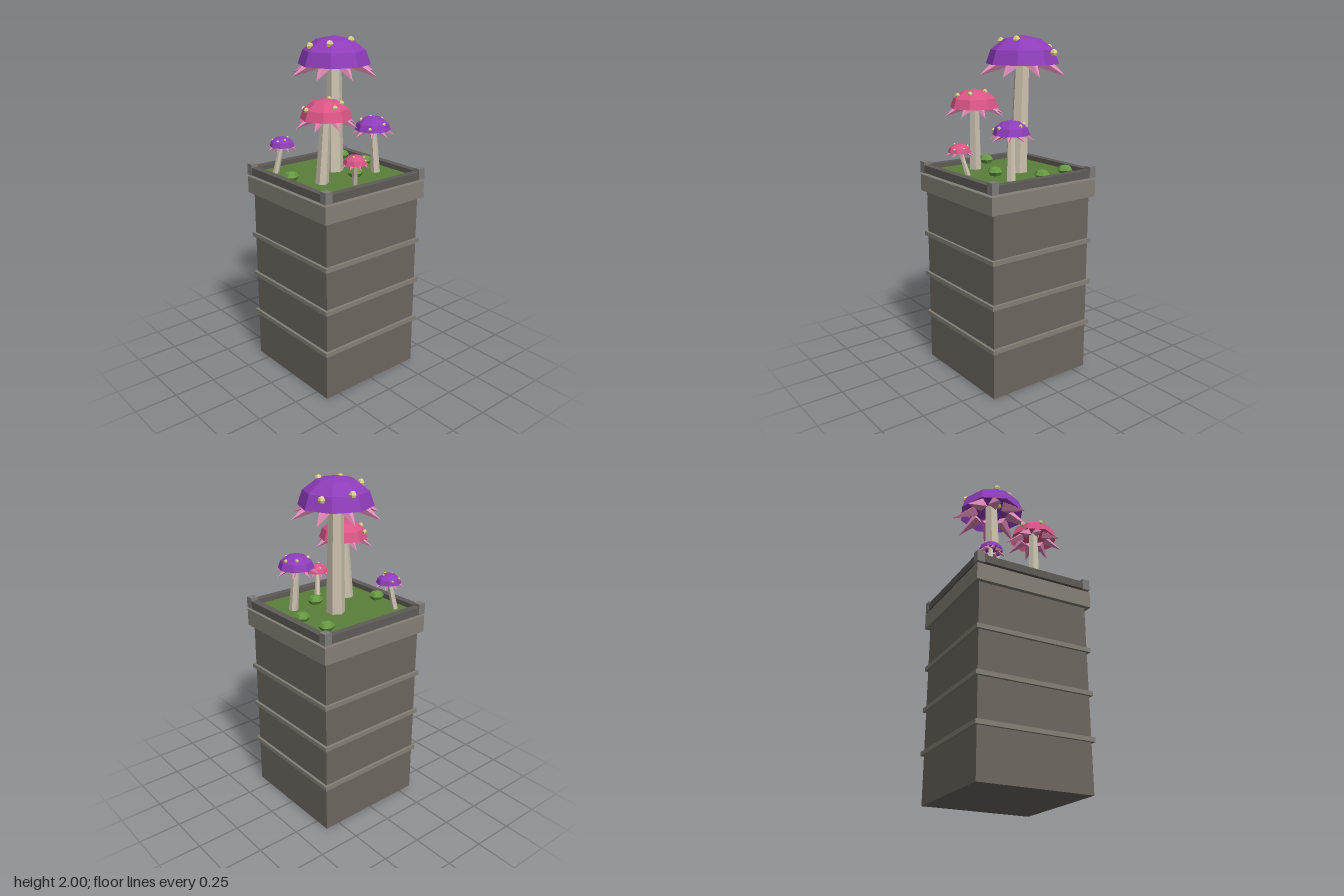
import * as THREE from 'three';

const mat = (color, side = THREE.FrontSide) =>
  new THREE.MeshStandardMaterial({ color, flatShading: true, side });

const M = {
  wall: mat(0x6c675f), trim: mat(0x858076), parapet: mat(0x5f5b57), post: mat(0x7d7b77),
  grass: mat(0x5a7f39), bush: mat(0x679a41), stem: mat(0xcdc3b0), spot: mat(0xe2d68a),
  gill: mat(0xe58dba), purple: mat(0x8f3dba, THREE.DoubleSide), pink: mat(0xdb5586, THREE.DoubleSide),
};

function add(parent, name, geometry, material, x = 0, y = 0, z = 0) {
  const mesh = new THREE.Mesh(geometry, material);
  mesh.name = name;
  mesh.position.set(x, y, z);
  parent.add(mesh);
  return mesh;
}

// box given by its bottom height
const box = (parent, name, w, h, d, material, x, y0, z) =>
  add(parent, name, new THREE.BoxGeometry(w, h, d), material, x, y0 + h / 2, z);

// tapered stem leaning from foot to head
function stemGeometry(foot, head, rFoot, rHead) {
  const h = head.y - foot.y;
  const g = new THREE.CylinderGeometry(rHead, rFoot, h, 6);
  const p = g.attributes.position;
  for (let i = 0; i < p.count; i++) {
    const t = p.getY(i) / h + 0.5;
    p.setXYZ(i, p.getX(i) + foot.x + (head.x - foot.x) * t, foot.y + h * t,
      p.getZ(i) + foot.z + (head.z - foot.z) * t);
  }
  g.computeVertexNormals();
  return g;
}

// at: cap centre x, z; foot: stem base x, z; turn: angle of the first gill spike in degrees
function mushroom({ name, at, foot, R, top, color, turn, spots }) {
  const g = new THREE.Group();
  g.name = name;
  const [x, z] = at;
  const H = R * 0.76, rim = top - H;

  add(g, 'stem', stemGeometry(new THREE.Vector3(foot[0], 1.205, foot[1]),
    new THREE.Vector3(x, rim + H * 0.35, z), R * 0.265, R * 0.2), M.stem);

  // faceted dome
  const cap = add(g, 'cap', new THREE.SphereGeometry(1, 8, 3, 0, Math.PI * 2, 0, Math.PI / 2),
    color, x, rim, z);
  cap.scale.set(R, H, R);

  // drooping spikes below the cap
  const L = R * 0.82, droop = 0.49;
  for (let i = 0; i < 8; i++) {
    const a = THREE.MathUtils.degToRad(turn + i * 45);
    const dir = new THREE.Vector3(Math.cos(a) * Math.cos(droop), -Math.sin(droop), Math.sin(a) * Math.cos(droop));
    const tip = new THREE.Vector3(x + Math.cos(a) * R * 1.24, rim - R * 0.29, z + Math.sin(a) * R * 1.24);
    const spike = add(g, 'gillSpike', new THREE.ConeGeometry(R * 0.2, L, 4), M.gill);
    spike.position.copy(tip).addScaledVector(dir, -L / 2);
    spike.quaternion.setFromUnitVectors(new THREE.Vector3(0, 1, 0), dir);
  }

  // raised spots on the dome
  for (const [u, v] of spots) {
    const y = Math.sqrt(Math.max(0.02, 1 - u * u - v * v));
    add(g, 'spot', new THREE.SphereGeometry(R * 0.1, 5, 4), M.spot, x + u * R, rim + y * H * 0.97, z + v * R);
  }
  return g;
}

export function createModel() {
  const model = new THREE.Group();
  model.name = 'mushroomTower';

  // tower body with three bands and a cornice
  box(model, 'towerBody', 0.684, 1.09, 0.684, M.wall, 0, 0, 0);
  for (const y of [0.283, 0.545, 0.805]) box(model, 'band', 0.715, 0.026, 0.715, M.trim, 0, y, 0);
  box(model, 'cornice', 0.735, 0.1, 0.735, M.trim, 0, 1.088, 0);

  // roof garden, set just above the cornice
  box(model, 'grass', 0.66, 0.016, 0.66, M.grass, 0, 1.203, 0);
  for (const s of [-1, 1]) {
    box(model, 'parapet', 0.734, 0.046, 0.042, M.parapet, 0, 1.202, s * 0.346);
    box(model, 'parapet', 0.042, 0.046, 0.65, M.parapet, s * 0.346, 1.202, 0);
    for (const t of [-1, 1]) box(model, 'cornerPost', 0.046, 0.066, 0.046, M.post, s * 0.345, 1.2, t * 0.345);
  }

  // low bushes
  for (const [x, z] of [[0.251, -0.235], [-0.279, -0.052], [0.273, -0.046], [0.052, 0.12]]) {
    const bush = add(model, 'bush', new THREE.SphereGeometry(0.046, 6, 4), M.bush, x, 1.243, z);
    bush.scale.y = 0.65;
    bush.rotation.y = Math.PI / 6;
  }

  const mushrooms = [
    { name: 'largePurpleMushroom', at: [0.053, -0.072], foot: [0.04, -0.056], R: 0.209, top: 2, color: M.purple,
      turn: 16.5, spots: [[0.13, -0.82], [0.8, -0.43], [0.25, 0.39], [-0.46, 0.37], [-0.7, -0.17]] },
    { name: 'largePinkMushroom', at: [-0.158, 0.115], foot: [-0.178, 0.1], R: 0.144, top: 1.697, color: M.pink,
      turn: 14, spots: [[-0.45, -0.79], [-0.84, -0.12], [0.37, -0.27], [0.38, 0.45], [-0.15, 0.7]] },
    { name: 'mediumPurpleMushroom', at: [0.192, 0.11], foot: [0.208, 0.125], R: 0.105, top: 1.553, color: M.purple,
      turn: 0, spots: [[0.34, -0.55], [0.72, -0.06], [-0.75, 0.6], [0.06, 0.83], [-0.5, -0.4]] },
    { name: 'smallPurpleMushroom', at: [-0.222, -0.213], foot: [-0.26, -0.235], R: 0.073, top: 1.435, color: M.purple,
      turn: 10, spots: [[-0.43, -0.7], [0.35, -0.81], [0.43, 0.14], [-0.14, 0.59], [-0.65, 0.32]] },
    { name: 'smallPinkMushroom', at: [-0.082, 0.272], foot: [-0.052, 0.232], R: 0.067, top: 1.403, color: M.pink,
      turn: 17, spots: [[0.82, 0.12], [0.41, 0.79], [-0.38, 0.24], [0.2, -0.68]] },
  ];
  for (const m of mushrooms) model.add(mushroom(m));
  return model;
}
